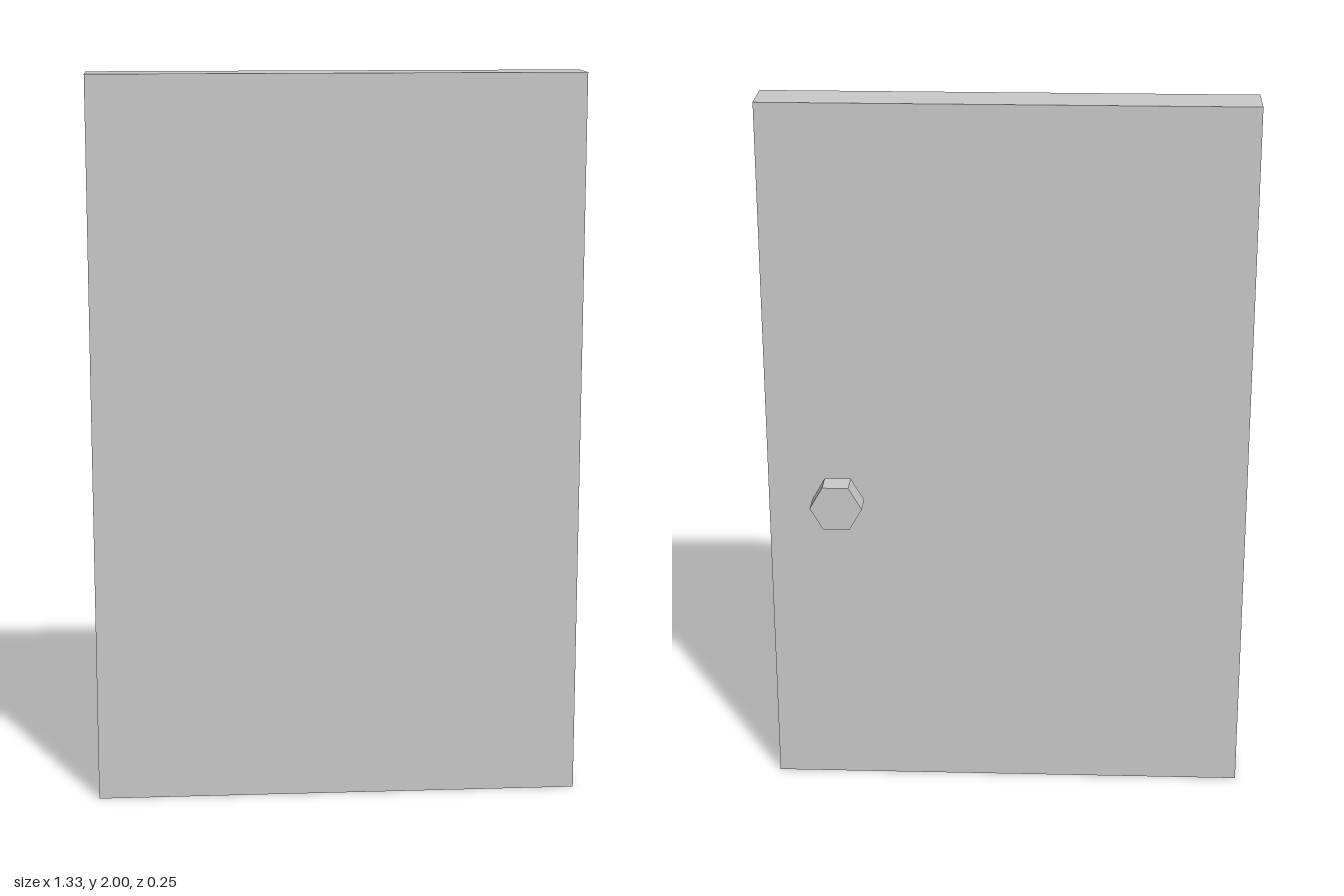
import * as THREE from 'three';

const material = new THREE.MeshStandardMaterial({ color: 0xcccccc, flatShading: true });

// Six-sided turned part from [radius, distance] points; its axis runs towards -z, corners at +x and -x
function hexTurned(name, profile) {
  const points = profile.map(([r, d]) => new THREE.Vector2(r, d));
  const geometry = new THREE.LatheGeometry(points, 6, Math.PI / 6).rotateX(-Math.PI / 2);
  const mesh = new THREE.Mesh(geometry, material);
  mesh.name = name;
  return mesh;
}

export function createModel() {
  const model = new THREE.Group();
  model.name = 'door';

  // Plain door slab
  const thickness = 0.133;
  const frontZ = 0.124;
  const panel = new THREE.Mesh(new THREE.BoxGeometry(1.333, 2, thickness), material);
  panel.name = 'doorPanel';
  panel.position.set(0, 1, frontZ - thickness / 2);
  model.add(panel);

  // Knob on the back face: narrow stem and a wider head with a shallow bevel underneath
  const knob = new THREE.Group();
  knob.name = 'doorKnob';
  knob.position.set(0.467, 0.89, frontZ - thickness);
  knob.add(
    hexTurned('knobStem', [[0, 0], [0.04, 0], [0.04, 0.043], [0, 0.043]]),
    hexTurned('knobHead', [[0, 0.041], [0.058, 0.041], [0.072, 0.046], [0.072, 0.115], [0, 0.115]])
  );
  model.add(knob);

  return model;
}
